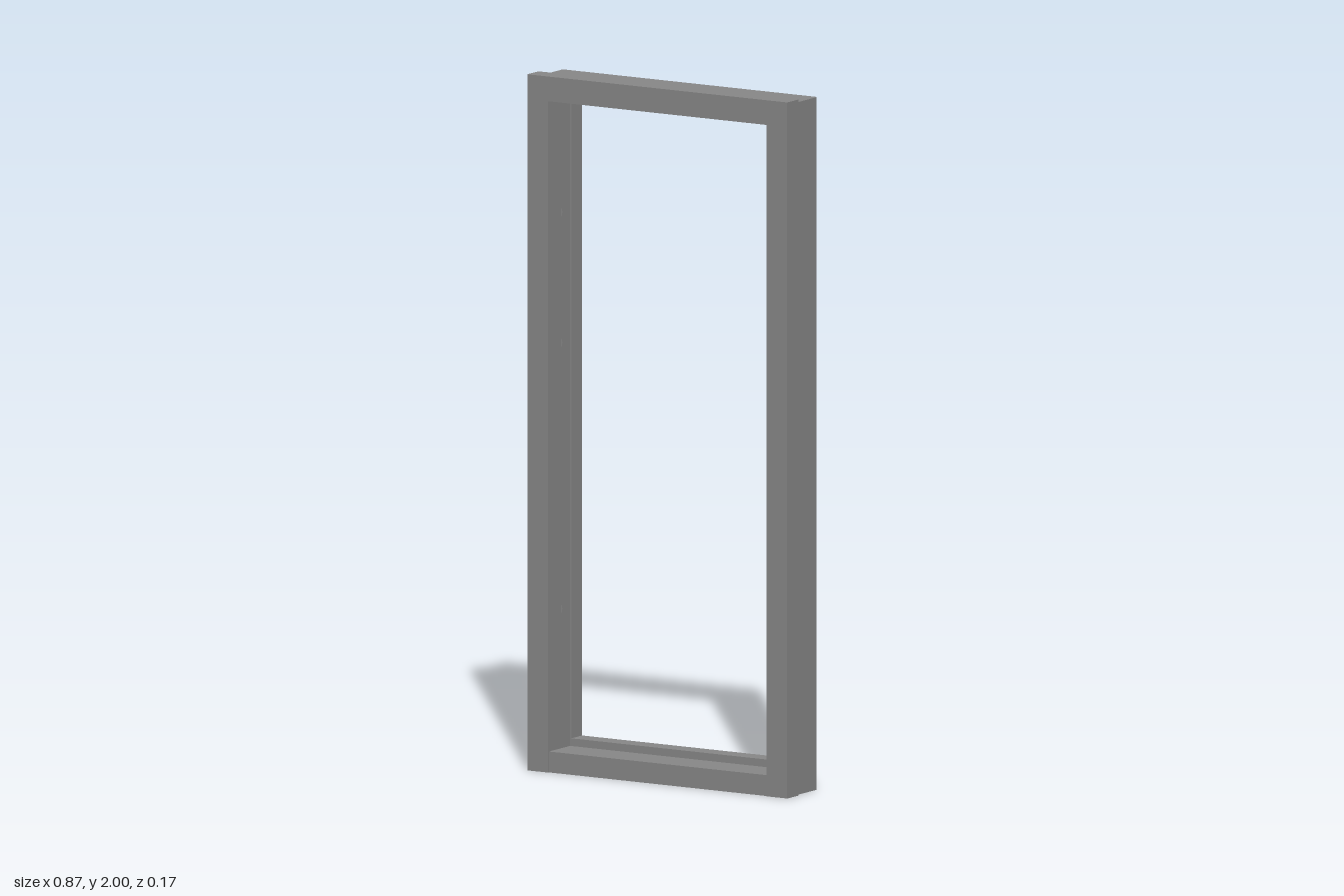
import * as THREE from 'three';

const material = new THREE.MeshStandardMaterial({ color: 0x888888, flatShading: true });

// Depth: front face, back of the flange, front of the stop lip, back face
const FRONT = 0.086, STEP = 0.027, LIP = -0.03, BACK = -0.087;
// Half widths: flange, body, bottom of the bolt holes, inner jamb face, lip
const FLANGE_X = 0.437, BODY_X = 0.428, CORE_X = 0.398, JAMB_X = 0.367, LIP_X = 0.363;
const TOP = 2, BODY_TOP = 1.99;
const HOLES = [0.46, 1.225, 1.6];

function mesh(name, geometry) {
  const m = new THREE.Mesh(geometry, material);
  m.name = name;
  return m;
}

// Box given by its two extreme corners
function block(name, x0, x1, y0, y1, z0, z1) {
  const g = new THREE.BoxGeometry(Math.abs(x1 - x0), y1 - y0, z1 - z0);
  g.translate((x0 + x1) / 2, (y0 + y1) / 2, (z0 + z1) / 2);
  return mesh(name, g);
}

// Extrudes a (z, y) profile along x, with optional round holes
function alongX(name, profile, x0, x1, holes = []) {
  const shape = new THREE.Shape(profile.map(([z, y]) => new THREE.Vector2(-z, y)));
  for (const y of holes) {
    shape.holes.push(new THREE.Path().absarc(-STEP, y, 0.016, 0, Math.PI * 2, true));
  }
  const g = new THREE.ExtrudeGeometry(shape, { depth: x1 - x0, bevelEnabled: false, curveSegments: 6 });
  g.rotateY(Math.PI / 2).translate(x0, 0, 0);
  return mesh(name, g);
}

// Extrudes an (x, z) profile upwards from the floor
function alongY(name, profile, height) {
  const shape = new THREE.Shape(profile.map(([x, z]) => new THREE.Vector2(x, -z)));
  const g = new THREE.ExtrudeGeometry(shape, { depth: height, bevelEnabled: false });
  g.rotateX(-Math.PI / 2);
  return mesh(name, g);
}

// Upright: flange, body with a chamfered back edge, drilled inner face and lip
function createJamb(name, s) {
  const jamb = new THREE.Group();
  jamb.name = name;
  const c = 0.004;
  jamb.add(block('jambFlange', s * CORE_X, s * FLANGE_X, 0, TOP, STEP, FRONT));
  jamb.add(alongY('jambBody', [
    [s * CORE_X, STEP], [s * BODY_X, STEP], [s * BODY_X, BACK + c],
    [s * (BODY_X - c), BACK], [s * CORE_X, BACK],
  ], BODY_TOP));
  const drilled = [[FRONT, 0], [FRONT, TOP], [STEP, TOP], [STEP, BODY_TOP], [LIP, BODY_TOP], [LIP, 0]];
  const x0 = Math.min(s * CORE_X, s * JAMB_X);
  jamb.add(alongX('jambInnerFace', drilled, x0, x0 + CORE_X - JAMB_X, HOLES));
  jamb.add(block('jambLip', s * LIP_X, s * CORE_X, 0, BODY_TOP, BACK, LIP));
  return jamb;
}

export function createModel() {
  const frame = new THREE.Group();
  frame.name = 'doorFrame';
  frame.add(createJamb('leftJamb', 1), createJamb('rightJamb', -1));

  // Head: stepped on top, lip below at the back
  frame.add(alongX('head', [
    [FRONT, 1.929], [FRONT, TOP], [STEP, TOP], [STEP, BODY_TOP],
    [BACK, BODY_TOP], [BACK, 1.919], [LIP, 1.919], [LIP, 1.929],
  ], -JAMB_X, JAMB_X));

  // Sill: set slightly back from the jambs, raised lip at the back
  const sillFront = FRONT - 0.004;
  frame.add(alongX('sill', [
    [sillFront, 0], [sillFront, 0.06], [LIP, 0.06], [LIP, 0.082], [BACK, 0.082], [BACK, 0],
  ], -JAMB_X, JAMB_X));

  return frame;
}
